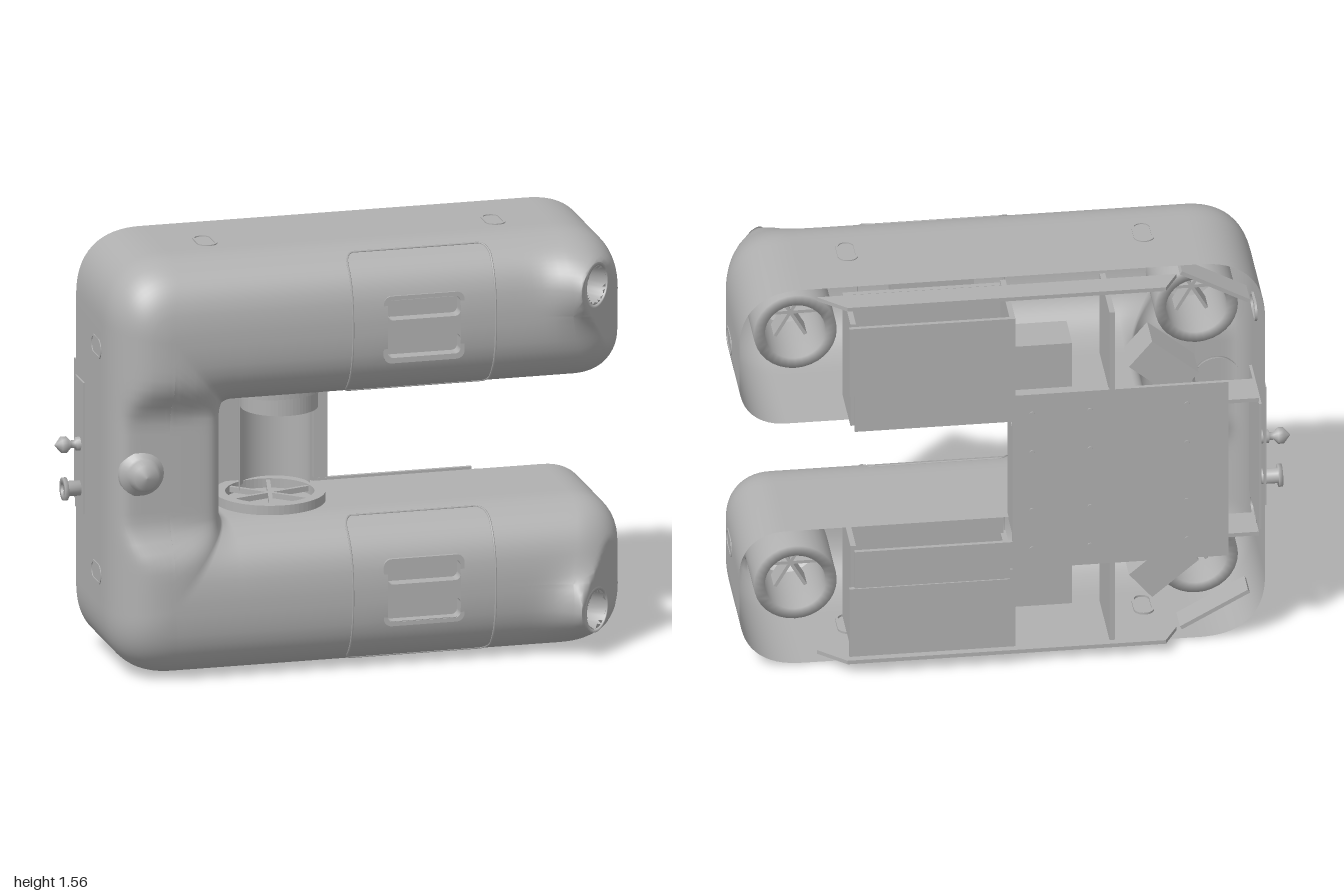
import * as THREE from 'three';

const MID = 0.78, TOP = 1.554, INNER = 1.004, AXIS = 1.28;
const grey = new THREE.MeshStandardMaterial({ color: 0xb0b0b0, side: THREE.DoubleSide });
grey.name = 'housing grey';

function add(parent, name, geo, x = 0, y = 0, z = 0) {
  const m = new THREE.Mesh(geo, grey);
  m.name = name;
  m.position.set(x, y, z);
  parent.add(m);
  return m;
}
// box given by its two corners
function slab(parent, name, x0, x1, y0, y1, z0, z1) {
  return add(parent, name, new THREE.BoxGeometry(x1 - x0, y1 - y0, z1 - z0), (x0 + x1) / 2, (y0 + y1) / 2, (z0 + z1) / 2);
}
// surface of revolution from [radius, height] pairs
const lathe = (pairs, sides) => new THREE.LatheGeometry(pairs.map(p => new THREE.Vector2(...p)), sides);

// height of the rounded front, softly capped lower along the spine
function frontZ(y, t) {
  const round = 0.08 + 0.25 * Math.pow(1 - Math.pow(1 - t, 2.5), 1 / 2.5);
  const cap = 0.257 + 0.2 * THREE.MathUtils.smoothstep(Math.abs(y - MID), 0.18, 0.5);
  return -0.018 * Math.log(Math.exp(-round / 0.018) + Math.exp(-cap / 0.018));
}
const legZ = y => frontZ(y, y < AXIS ? (y - INNER) / (AXIS - INNER) : (TOP - y) / (TOP - AXIS));
const NOZZLE = new THREE.Vector3(0.87, 1.385, 0.338);

// outline points of the upper half, each paired with a point on the limb's centre line
function halfOutline() {
  const out = [];
  const L = THREE.MathUtils.lerp;
  const line = (x0, y0, x1, y1, a0, b0, a1, b1, n) => {
    for (let i = 0; i < n; i++) out.push([L(x0, x1, i / n), L(y0, y1, i / n), L(a0, a1, i / n), L(b0, b1, i / n)]);
  };
  // quarter corner, squarer than a circle when power is above 2
  const corner = (cx, cy, r, power, from, to, n, medial) => {
    for (let i = 0; i < n; i++) {
      const a = L(from, to, i / n) * Math.PI / 180, c = Math.cos(a), s = Math.sin(a);
      const k = r / Math.pow(Math.abs(c) ** power + Math.abs(s) ** power, 1 / power);
      out.push([cx + k * c, cy + k * s, ...medial(i / n)]);
    }
  };
  const tip = () => [0.78, AXIS];
  line(-0.48, MID, -0.48, 0.964, -0.69, MID, -0.69, 0.98, 6);
  corner(-0.44, 0.964, 0.04, 2, 180, 90, 16, f => f < 0.5 ? [-0.69, L(0.98, AXIS, f * 2)] : [L(-0.69, -0.44, f * 2 - 1), AXIS]);
  for (const [a, b, n] of [[-0.44, 0.1, 8], [0.1, 0.37, 5], [0.37, 0.83, 12]])
    line(a, INNER, b, INNER, Math.min(a, 0.78), AXIS, Math.min(b, 0.78), AXIS, n);
  corner(0.83, INNER + 0.17, 0.17, 2.2, -90, 0, 12, tip);
  line(1, INNER + 0.17, 1, TOP - 0.24, 0.78, AXIS, 0.78, AXIS, 10);
  corner(0.76, TOP - 0.24, 0.24, 2.5, 0, 90, 18, tip);
  for (const [a, b, n] of [[0.76, 0.37, 12], [0.37, 0.1, 5], [0.1, -0.65, 10]])
    line(a, TOP, b, TOP, a === 0.76 ? 0.78 : a, AXIS, b < 0 ? -0.69 : b, AXIS, n);
  corner(-0.65, TOP - 0.25, 0.25, 2.5, 90, 180, 18, () => [-0.69, AXIS]);
  line(-0.9, TOP - 0.25, -0.9, MID, -0.69, AXIS, -0.69, MID, 14);
  out.push([-0.9, MID, -0.69, MID]);
  return out;
}

// U-shaped shell, open at the back, with swollen nozzle mounts at the leg tips
function shellGeometry() {
  const half = halfOutline();
  const flip = half.slice(1, -1).reverse().map(([x, y, a, b]) => [x, 2 * MID - y, a, 2 * MID - b]);
  const ring = half.concat(flip), n = ring.length;
  const ts = [0, 0.004, 0.015, 0.035, 0.065, 0.1, 0.15, 0.2, 0.26, 0.32, 0.38, 0.44, 0.5, 0.571, 0.643, 0.75, 0.857, 0.93, 1];
  const pts = [];
  for (const [x, y] of ring) pts.push(new THREE.Vector3(x, y, -0.26));
  for (const t of ts) for (const [x, y, a, b] of ring) {
    const p = new THREE.Vector3(x + (a - x) * t, y + (b - y) * t, 0);
    p.z = frontZ(p.y, t);
    const dy = Math.abs(p.y - MID) - (NOZZLE.y - MID), dx = p.x - 0.86;
    p.z += 0.12 * Math.exp(-(dx * dx + dy * dy) / 0.012) * Math.min(1, t * 4);
    const over = p.x + p.z - 1.205;
    if (over > 0) { p.x -= over / 2; p.z -= over / 2; }
    pts.push(p);
  }
  const idx = [], c = new THREE.Vector3();
  const tri = (i, j, k) => {
    c.copy(pts[i]).add(pts[j]).add(pts[k]).divideScalar(3);
    c.y = MID + Math.abs(c.y - MID);
    if (c.distanceTo(NOZZLE) < 0.066) return; // nozzle hole
    if (c.z > 0.2 && c.x > 0.1 && c.x < 0.37 && c.y > 1.16 && c.y < 1.38) return; // hatch hole
    idx.push(i, j, k);
  };
  for (let r = 0; r < ts.length; r++) for (let i = 0; i < n; i++) {
    const a = r * n + i, b = r * n + (i + 1) % n;
    tri(a, b, b + n);
    tri(a, b + n, a + n);
  }
  const g = new THREE.BufferGeometry();
  g.setAttribute('position', new THREE.Float32BufferAttribute(pts.flatMap(p => [p.x, p.y, p.z]), 3));
  g.setIndex(idx);
  g.computeVertexNormals();
  return g;
}

function roundRect(S, x0, x1, y0, y1, r) {
  const s = new S();
  s.absarc(x1 - r, y0 + r, r, -Math.PI / 2, 0);
  s.absarc(x1 - r, y1 - r, r, 0, Math.PI / 2);
  s.absarc(x0 + r, y1 - r, r, Math.PI / 2, Math.PI);
  s.absarc(x0 + r, y0 + r, r, Math.PI, Math.PI * 1.5);
  s.closePath();
  return s;
}
const extrude = (shape, depth) => new THREE.ExtrudeGeometry(shape, { depth, bevelEnabled: false, curveSegments: 8 });

// stadium rim facing +y, long along z
function slotRim() {
  const s = roundRect(THREE.Shape, -0.037, 0.037, -0.068, 0.068, 0.036);
  s.holes.push(roundRect(THREE.Path, -0.028, 0.028, -0.059, 0.059, 0.027));
  return extrude(s, 0.012).rotateX(-Math.PI / 2);
}

// everything that belongs to one leg
function buildLeg(name) {
  const g = new THREE.Group();
  g.name = name;

  // hatch with two slots
  const hatch = roundRect(THREE.Shape, 0.085, 0.385, 1.145, 1.395, 0.03);
  hatch.holes.push(roundRect(THREE.Path, 0.1, 0.37, 1.165, 1.24, 0.02), roundRect(THREE.Path, 0.1, 0.37, 1.305, 1.38, 0.02));
  add(g, 'hatch frame', extrude(hatch, 0.055), 0, 0, 0.27);
  slab(g, 'hatch floor', 0.085, 0.385, 1.145, 1.395, 0.265, 0.275);

  // seam of the front panel
  const seam = roundRect(THREE.Shape, -0.03, 0.5, 1.014, 1.535, 0.03).getSpacedPoints(100);
  const path = new THREE.CatmullRomCurve3(seam.slice(0, -1).map(p => new THREE.Vector3(p.x, p.y, legZ(p.y))), true);
  add(g, 'panel seam', new THREE.TubeGeometry(path, 160, 0.004, 5, true));

  // tip nozzle
  const nozzle = add(g, 'nozzle', lathe([[0.01, -0.09], [0.068, -0.09], [0.073, 0.003], [0.084, 0.001]], 28), NOZZLE.x, NOZZLE.y, NOZZLE.z);
  nozzle.quaternion.setFromUnitVectors(new THREE.Vector3(0, 1, 0), new THREE.Vector3(1, 0, 1).normalize());

  // side slots
  for (const x of [-0.49, 0.58]) add(g, 'top slot', slotRim(), x, TOP - 0.008, -0.01);
  add(g, 'end slot', slotRim().rotateZ(-Math.PI / 2), 0.991, 1.2, 0.02);
  add(g, 'spine slot', slotRim().rotateZ(Math.PI / 2), -0.891, 1.2, 0.02);

  // drums behind the corners
  for (const x of [-0.67, 0.78]) {
    add(g, 'drum', lathe([[0.11, 0.14], [0.11, -0.12], [0.15, -0.12], [0.15, 0.14]], 32).rotateX(Math.PI / 2), x, 1.3, 0);
    for (let i = 0; i < 3; i++)
      add(g, 'drum vane', new THREE.BoxGeometry(0.22, 0.012, 0.08), x, 1.3, 0.06).rotation.z = i * Math.PI / 3;
  }

  // back plates, gussets and brackets
  slab(g, 'leg back plate', 0.03, 0.62, 1.18, 1.46, -0.4, -0.385);
  slab(g, 'leg inner plate', 0.03, 0.6, 1.03, 1.18, -0.395, -0.38);
  slab(g, 'plate end wall', 0.59, 0.61, 1.03, 1.45, -0.35, -0.12);
  slab(g, 'leg tray', 0.03, 0.6, 1.03, 1.45, -0.14, -0.12);
  slab(g, 'gusset', 0.02, 0.04, 1.14, 1.46, -0.4, -0.12);
  slab(g, 'gusset box', -0.19, 0.02, 1.14, 1.32, -0.36, -0.2);
  slab(g, 'gusset', -0.34, -0.32, 1.13, 1.46, -0.4, -0.12);
  add(g, 'angled bracket', new THREE.BoxGeometry(0.22, 0.13, 0.14), -0.52, 1.19, -0.3).rotation.z = 0.7;
  const rail = new THREE.Shape([[-0.58, 0.26], [-0.53, 0.35], [0.62, 0.35], [0.72, 0.26]].map(p => new THREE.Vector2(...p)));
  add(g, 'side rail', extrude(rail, 0.015).rotateX(-Math.PI / 2), 0, 1.505, 0);
  add(g, 'corner brace', new THREE.BoxGeometry(0.28, 0.015, 0.1), -0.72, 1.45, -0.2).rotation.z = 0.5;
  slab(g, 'block edge wall', -0.86, -0.54, 1.05, 1.065, -0.4, -0.26);
  return g;
}

// flat ring facing +y
function flatRing(outer, inner, depth) {
  const s = new THREE.Shape().absarc(0, 0, outer, 0, Math.PI * 2);
  s.holes.push(new THREE.Path().absarc(0, 0, inner, 0, Math.PI * 2));
  return new THREE.ExtrudeGeometry(s, { depth, bevelEnabled: false, curveSegments: 32 }).rotateX(-Math.PI / 2);
}

export function createModel() {
  const model = new THREE.Group();
  model.name = 'housing';
  add(model, 'shell', shellGeometry());

  // the lower leg mirrors the upper one
  const lower = buildLeg('lowerLeg');
  lower.scale.y = -1;
  lower.position.y = 2 * MID;
  model.add(buildLeg('upperLeg'), lower);

  // central back plate with side walls and bolts
  slab(model, 'back plate', -0.75, 0.03, 0.42, 1.14, -0.4, -0.385);
  slab(model, 'back plate edge', 0.01, 0.03, 0.56, 1.0, -0.4, -0.28);
  slab(model, 'back side plate', -0.87, -0.86, 0.52, 1.04, -0.4, -0.12);
  for (const x of [-0.6, -0.25, -0.04]) for (const y of [0.5, 0.66, 0.9, 1.06])
    add(model, 'bolt', new THREE.CylinderGeometry(0.01, 0.01, 0.006, 8).rotateX(Math.PI / 2), x, y, -0.401);

  // rotor bay between the legs
  slab(model, 'bay back', -0.48, 0.03, 0.56, 1.0, -0.295, -0.28);
  slab(model, 'bay edge post', -0.02, 0.03, 0.57, 0.99, -0.285, -0.25);
  slab(model, 'bay panel', -0.46, -0.3, 0.58, 0.98, -0.25, -0.22);
  add(model, 'bay rear wall', new THREE.CylinderGeometry(0.13, 0.13, 0.4, 20, 1, true, Math.PI / 2, Math.PI), -0.2, MID, -0.12);
  add(model, 'lower flange', flatRing(0.2, 0.16, 0.035), -0.235, 0.556, -0.06);
  add(model, 'upper flange', flatRing(0.2, 0.13, 0.02), -0.235, 0.984, -0.06);
  add(model, 'upper cup', flatRing(0.14, 0.12, 0.08), -0.2, 0.905, -0.06);
  for (let i = 0; i < 3; i++) {
    add(model, 'lower spoke', new THREE.BoxGeometry(0.34, 0.02, 0.015), -0.235, 0.576, -0.06).rotation.y = i * Math.PI / 3 + 0.3;
    add(model, 'upper spoke', new THREE.BoxGeometry(0.26, 0.02, 0.015), -0.2, 0.96, -0.06).rotation.y = i * Math.PI / 3 + 0.3;
  }

  // knob on the front of the spine
  const knob = [[0.088, 0], [0.085, 0.02], [0.062, 0.025], [0.06, 0.045], [0.045, 0.07], [0, 0.08]];
  add(model, 'front knob', lathe(knob, 28).rotateX(Math.PI / 2), -0.79, MID, 0.235);

  // fittings on the spine's outer side
  const bulb = [[0.025, 0], [0.025, 0.03], [0.014, 0.035], [0.014, 0.05], [0.03, 0.065], [0.03, 0.085], [0, 0.11]];
  add(model, 'side bulb', lathe(bulb, 16).rotateZ(Math.PI / 2), -0.89, MID, -0.19);
  const pipe = [[0, 0], [0.028, 0], [0.028, 0.06], [0.042, 0.06], [0.042, 0.075], [0.02, 0.075], [0.02, 0.02]];
  add(model, 'side pipe', lathe(pipe, 16).rotateZ(Math.PI / 2), -0.895, 0.615, -0.19);
  slab(model, 'fitting plate', -0.906, -0.9, 0.53, 1.02, -0.25, -0.14);
  return model;
}
